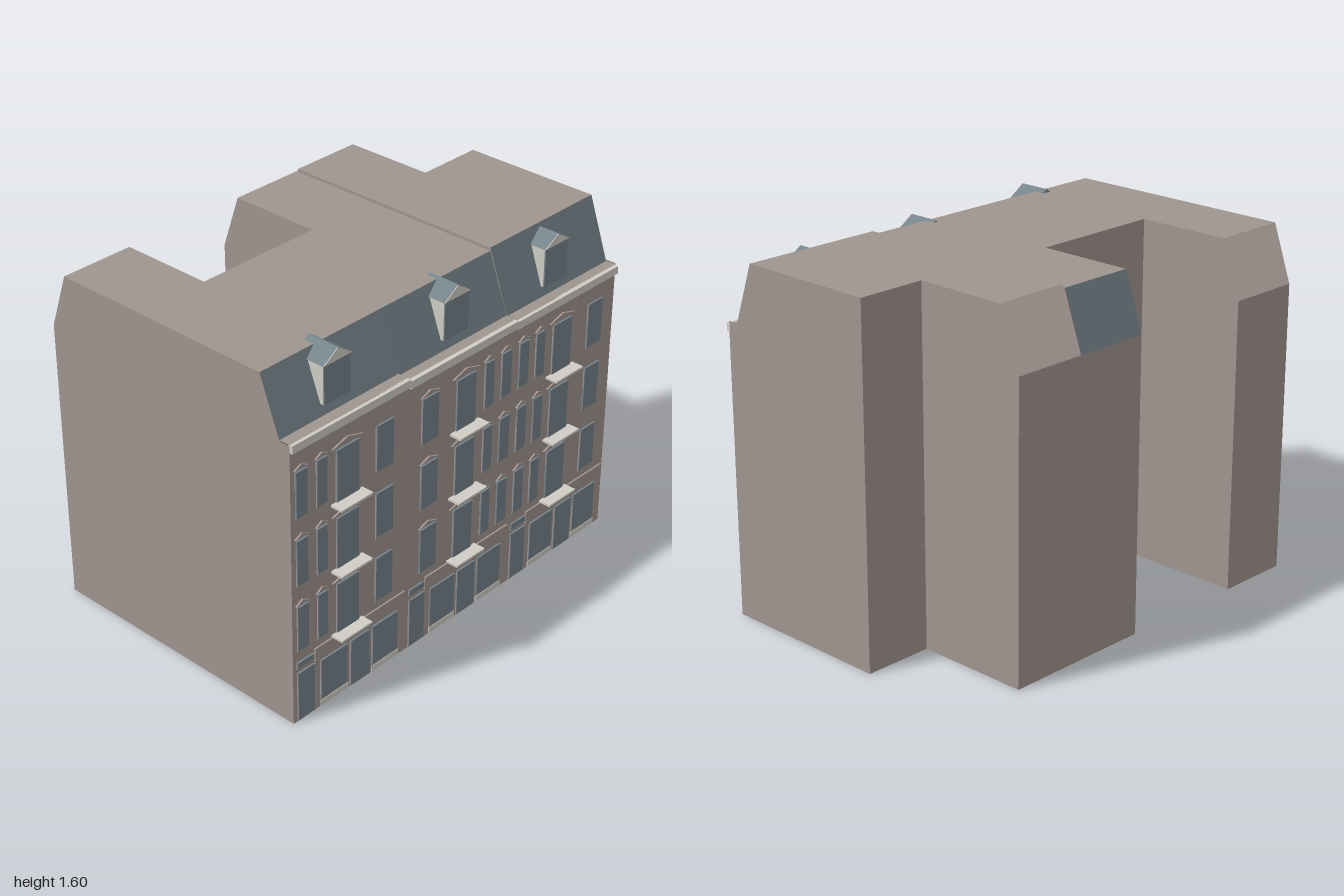
import * as THREE from 'three';

const flat = (name, color, side = THREE.FrontSide) => {
  const m = new THREE.MeshStandardMaterial({ color, side });
  m.name = name;
  return m;
};

export function createModel() {
  const model = new THREE.Group();
  model.name = 'townhouses';
  const wall = flat('stone', 0xa0958f, THREE.DoubleSide);
  const slate = flat('slate blue', 0x75838b, THREE.DoubleSide);
  const trim = flat('pale trim', 0xcfcdc4);

  const add = (name, geo, mat, parent = model) => {
    const mesh = new THREE.Mesh(geo, mat);
    mesh.name = name;
    parent.add(mesh);
    return mesh;
  };
  const group = (name) => {
    const g = new THREE.Group();
    g.name = name;
    model.add(g);
    return g;
  };
  // box given by its limits on each axis
  const box = (name, x0, x1, y0, y1, z0, z1, mat, parent) => add(name,
    new THREE.BoxGeometry(x1 - x0, y1 - y0, z1 - z0)
      .translate((x0 + x1) / 2, (y0 + y1) / 2, (z0 + z1) / 2), mat, parent);
  // strip across x between two (y, z) edges, faces outward along the first-to-second winding
  const strip = (name, x0, x1, [ya, za], [yb, zb], mat, parent) => {
    const g = new THREE.BufferGeometry();
    g.setAttribute('position', new THREE.Float32BufferAttribute(
      [x0, ya, za, x1, ya, za, x1, yb, zb, x0, yb, zb], 3));
    g.setIndex([0, 1, 2, 0, 2, 3]);
    g.computeVertexNormals();
    return add(name, g, mat, parent);
  };
  // flat wall at constant x from a (z, y) outline
  const sideWall = (x, pts, parent) => add('sideWall', new THREE.ShapeGeometry(
    new THREE.Shape(pts.map(([z, y]) => new THREE.Vector2(z, y))))
    .rotateY(-Math.PI / 2).translate(x, 0, 0), wall, parent);
  // upright triangle with a little depth
  const gable = (name, x0, x1, y0, y1, z0, depth, mat, parent) => add(name,
    new THREE.ExtrudeGeometry(new THREE.Shape([
      new THREE.Vector2(x0, y0), new THREE.Vector2(x1, y0), new THREE.Vector2((x0 + x1) / 2, y1),
    ]), { depth, bevelEnabled: false }).translate(0, 0, z0), mat, parent);

  // Shell: court and wing blocks as [x0, x1, back z, roof top, roof back edge z]
  const F = 0.64, shell = group('shell');
  const blocks = [
    [-1, -0.65, -0.7, 1.586, -0.61],
    [-0.65, -0.03, -0.17, 1.586, -0.17],
    [-0.03, 0.33, -0.7, 1.586, -0.61],
    [0.33, 0.68, -0.7, 1.6, -0.6],
    [0.68, 1, -0.17, 1.6, -0.17],
  ];
  for (const [x0, x1, zb, top, zr] of blocks) {
    const wing = zb < -0.5;
    strip('floor', x0, x1, [0, zb], [0, F], wall, shell);
    strip('flatRoof', x0, x1, [top, 0.49], [top, zr], wall, shell);
    strip('backWall', x1, x0, [0, zb], [wing ? 1.33 : top, zb], wall, shell);
  }
  strip('backMansard', 0.33, -0.03, [1.33, -0.7], [1.586, -0.61], slate, shell);
  const front = (top) => [[F, 0], [F, 1.325], [0.588, 1.325], [0.49, top]];
  sideWall(-1, [...front(1.586), [-0.61, 1.586], [-0.7, 1.33], [-0.7, 0]], shell);
  sideWall(0.33, [...front(1.6), [-0.6, 1.6], [-0.7, 1.33], [-0.7, 0]], shell);
  sideWall(1, [...front(1.6), [-0.17, 1.6], [-0.17, 0]], shell);
  for (const [x, top, zr] of [[-0.65, 1.586, -0.61], [-0.03, 1.586, -0.61], [0.68, 1.6, -0.6]])
    sideWall(x, [[-0.17, 0], [-0.17, top], [zr, top], [-0.7, 1.33], [-0.7, 0]], shell);

  // Framed window: stone frame shifted a little behind a blue pane
  const pane = (x0, x1, y0, y1, parent) => {
    box('windowFrame', x0, x1 + 0.009, y0 - 0.008, y1 - 0.006, F, F + 0.005, wall, parent);
    box('windowPane', x0, x1, y0, y1, F, F + 0.009, slate, parent);
  };

  // Each house: [x0, x1, cornice bottom, roof top, dormer centre, dormer sill, eave, ridge]
  const houses = [
    [-1, -0.333, 1.295, 1.586, -0.685, 1.375, 1.548, 1.602],
    [-0.333, 0.33, 1.285, 1.586, 0.01, 1.365, 1.54, 1.594],
    [0.33, 1, 1.28, 1.6, 0.645, 1.358, 1.535, 1.584],
  ];
  houses.forEach(([x0, x1, cy, top, dx, sill, eave, ridge], i) => {
    const house = group('houseFront' + (i + 1)), ct = cy + 0.036;
    strip('frontWall', x0, x1, [0, F], [ct, F], wall, house);
    strip('ledge', x0, x1, [ct, F], [ct, 0.588], wall, house);
    strip('frontMansard', x0, x1, [ct, 0.588], [top, 0.49], slate, house);
    box('cornice', x0, x1, cy, ct, F - 0.005, 0.655, trim, house);

    // Dormer: pale cheeks, blue window, gabled slate roof
    const w = 0.075;
    box('dormerBody', dx - w, dx + w, sill, eave, 0.5, 0.585, trim, house);
    box('dormerWindow', dx - w + 0.002, dx + w - 0.002, sill, eave, 0.585, 0.59, slate, house);
    gable('dormerRoof', dx - w - 0.006, dx + w + 0.006, eave, ridge, 0.44, 0.15, slate, house);
    gable('dormerPediment', dx - w - 0.004, dx + w + 0.004, eave, ridge - 0.002, 0.589, 0.005, trim, house);

    // Shopfront: door, fanlight, three panes, sign band and plinths
    const s = -1 + i * 0.665;
    pane(s + 0.022, s + 0.115, 0.012, 0.245, house);
    pane(s + 0.02, s + 0.11, 0.272, 0.298, house);
    pane(s + 0.155, s + 0.308, 0.042, 0.235, house);
    pane(s + 0.33, s + 0.44, 0.012, 0.235, house);
    pane(s + 0.462, s + 0.612, 0.042, 0.235, house);
    box('signBand', s + 0.12, s + 0.66, 0.25, 0.312, F, F + 0.008, wall, house);
    box('plinth', s + 0.155, s + 0.32, 0.002, 0.03, F, F + 0.004, trim, house);
    box('plinth', s + 0.462, s + 0.625, 0.002, 0.03, F, F + 0.004, trim, house);
  });

  // Upper windows: [x0, x1, kind], where L has a balcony and P is plain
  const columns = [
    [-0.975, -0.915, 'S'], [-0.86, -0.805, 'S'], [-0.75, -0.625, 'L'], [-0.522, -0.425, 'P'],
    [-0.252, -0.155, 'S'], [-0.04, 0.075, 'L'], [0.137, 0.19, 'S'], [0.243, 0.303, 'S'],
    [0.357, 0.415, 'S'], [0.467, 0.522, 'S'], [0.58, 0.7, 'L'], [0.817, 0.913, 'P'],
  ];
  const floors = group('upperWindows');
  for (const y of [0.325, 0.64, 0.955]) {
    for (const [x0, x1, kind] of columns) {
      const large = kind === 'L';
      pane(x0, x1, large ? y : y + 0.032, large ? y + 0.237 : y + 0.242, floors);
      if (kind !== 'P') {
        const o = large ? 0.025 : 0.008;
        gable('windowPediment', x0 - o, x1 + o, y + 0.25, y + (large ? 0.275 : 0.27), F, 0.008, wall, floors);
      }
      if (large) {
        const c = (x0 + x1) / 2;
        box('balcony', c - 0.09, c + 0.09, y - 0.012, y - 0.002, F, 0.7, trim, floors);
      }
    }
  }
  return model;
}
